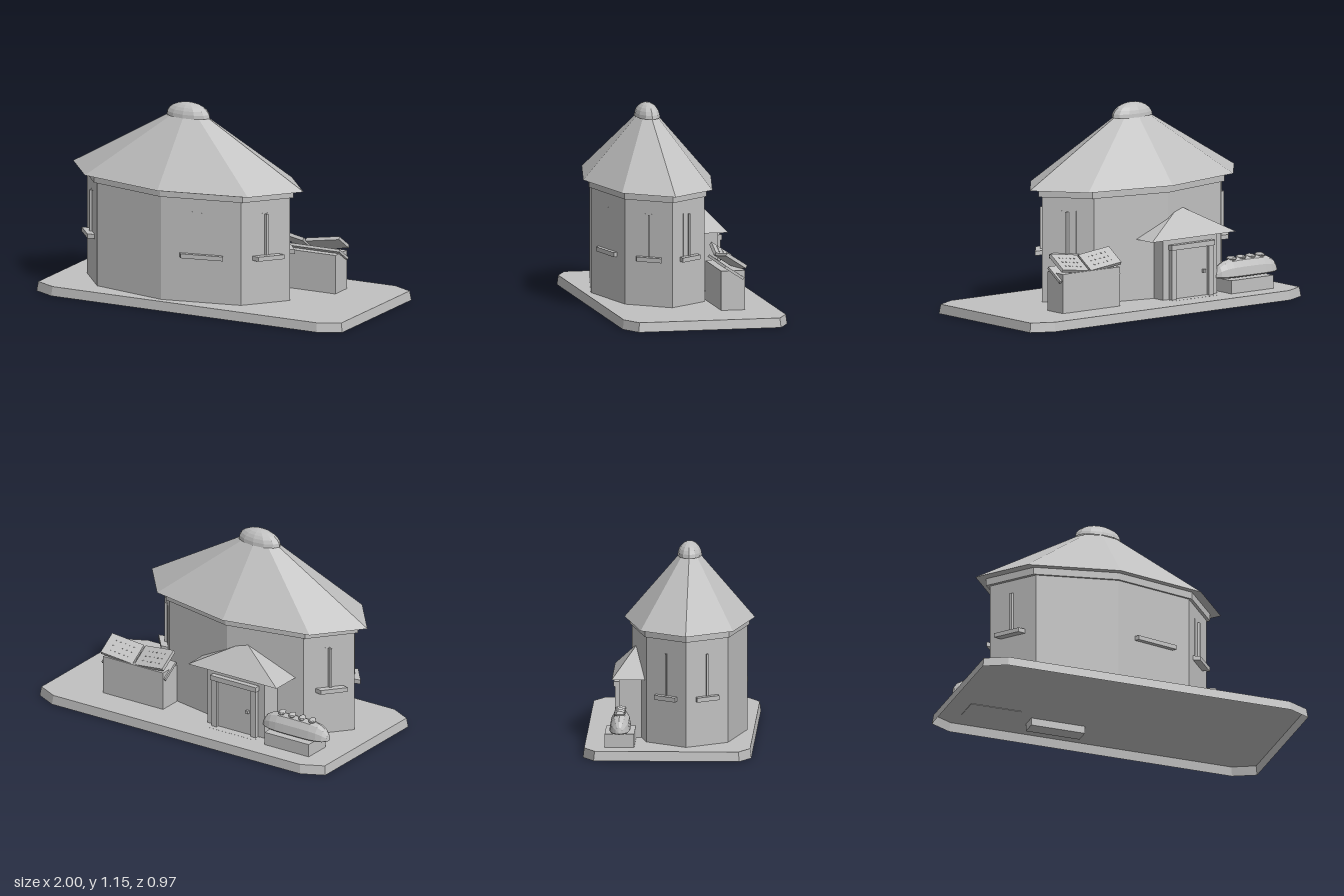
import * as THREE from 'three';

export function createModel() {
  const model = new THREE.Group();
  const grey = new THREE.MeshStandardMaterial({
    color: 0xc0c0c0, flatShading: true, side: THREE.DoubleSide,
  });
  grey.name = 'plain grey';

  const add = (parent, name, geometry, x = 0, y = 0, z = 0) => {
    const mesh = new THREE.Mesh(geometry, grey);
    mesh.name = name;
    mesh.position.set(x, y, z);
    parent.add(mesh);
    return mesh;
  };
  const box = (parent, name, w, h, d, x, y, z) =>
    add(parent, name, new THREE.BoxGeometry(w, h, d), x, y, z);
  const group = (name, x = 0, y = 0, z = 0) => {
    const g = new THREE.Group();
    g.name = name;
    g.position.set(x, y, z);
    model.add(g);
    return g;
  };

  // Hollow base with clipped corners, open below and slightly narrower on top
  const outline = [[1, 0.42], [0.87, 0.485], [-0.87, 0.485], [-1, 0.42],
    [-1, -0.42], [-0.87, -0.485], [0.87, -0.485], [1, -0.42]];
  const topX = 0.992, topZ = 0.986, baseTop = 0.055;
  const base = group('base');
  const deck = new THREE.ShapeGeometry(
    new THREE.Shape(outline.map(([x, z]) => new THREE.Vector2(x * topX, -z * topZ))));
  deck.rotateX(-Math.PI / 2);
  add(base, 'baseTop', deck, 0, baseTop, 0);
  const skirt = new THREE.PlaneGeometry(1, 1, 8, 1);
  const s = skirt.attributes.position;
  for (let i = 0; i < s.count; i++) {
    const [x, z] = outline[(17 - (i % 9)) % 8];
    if (i < 9) s.setXYZ(i, x * topX, baseTop, z * topZ);
    else s.setXYZ(i, x, 0, z);
  }
  add(base, 'baseSides', skirt);

  // Eight-sided tower, built on a unit circle and stretched along x
  const tower = group('tower', -0.175, 0, 0.108);
  tower.scale.set(0.665, 1, 0.332);
  const ring = (name, top, bottom, y0, y1) =>
    add(tower, name, new THREE.CylinderGeometry(top, bottom, y1 - y0, 8), 0, (y0 + y1) / 2, 0);
  ring('walls', 1, 1, 0.056, 0.69);
  ring('cornice', 1.035, 1.035, 0.67, 0.714);
  ring('roof', 0.2, 1.135, 0.713, 1.073);
  const dome = add(tower, 'roofDome',
    new THREE.SphereGeometry(0.212, 12, 6, 0, Math.PI * 2, 0, Math.PI / 2), 0, 1.073, 0);
  dome.scale.y = 0.082 / 0.212;

  // Windows with a centre bar and a sill
  for (const degrees of [-22.5, 22.5, 67.5, 157.5, 202.5]) {
    const win = new THREE.Group();
    win.name = 'window';
    win.rotation.y = Math.PI / 2 - THREE.MathUtils.degToRad(degrees);
    tower.add(win);
    box(win, 'windowPane', 0.25, 0.25, 0.02, 0, 0.467, 0.915);
    box(win, 'windowBar', 0.03, 0.245, 0.04, 0, 0.465, degrees === 67.5 ? 0.908 : 0.93);
    box(win, 'windowSill', 0.407, 0.026, 0.077, 0, 0.33, 0.957);
  }

  // Porch at the back with a hipped roof and a sunken doorstep
  const porch = group('porch', -0.285, 0, 0);
  box(porch, 'porchWalls', 0.4, 0.358, 0.17, 0, 0.235, -0.205);
  const hip = new THREE.ConeGeometry(Math.SQRT1_2, 1, 4);
  hip.rotateY(Math.PI / 4);
  add(porch, 'porchRoof', hip, 0, 0.492, -0.188).scale.set(0.62, 0.165, 0.28);
  box(porch, 'door', 0.24, 0.29, 0.01, 0, 0.202, -0.293);
  for (const side of [-1, 1]) {
    box(porch, 'doorPost', 0.035, 0.3, 0.03, side * 0.137, 0.206, -0.3);
  }
  box(porch, 'lintel', 0.32, 0.03, 0.036, 0, 0.36, -0.304);
  box(porch, 'doorKnob', 0.018, 0.018, 0.02, -0.09, 0.2, -0.305);
  box(porch, 'doorstep', 0.33, 0.045, 0.09, 0, 0.033, -0.3);

  // Blunt loaf on a low plinth, with raised scores along its top
  const loafStand = group('loafStand', -0.7, 0, -0.276);
  box(loafStand, 'plinth', 0.31, 0.08, 0.17, 0.012, 0.092, 0);
  const crust = new THREE.SphereGeometry(1, 12, 12);
  crust.rotateZ(Math.PI / 2);
  const c = crust.attributes.position;
  for (let i = 0; i < c.count; i++) {
    const x = c.getX(i), swell = Math.sqrt(1 + x * x);
    const y = c.getY(i) * swell;
    c.setXYZ(i, x * 0.228, y * (y < 0 ? 0.015 : 0.1), c.getZ(i) * swell * 0.06);
  }
  add(loafStand, 'loaf', crust, 0, 0.147, 0);
  for (let i = 0; i < 4; i++) {
    const score = add(loafStand, 'loafScore', new THREE.SphereGeometry(1, 8, 6),
      -0.11 + i * 0.07, 0.245, 0);
    score.scale.set(0.022, 0.014, 0.035);
    score.rotation.y = 0.3;
  }

  // Open book leaning on a block
  box(model, 'bookBlock', 0.42, 0.229, 0.14, 0.44, 0.1705, -0.215);
  const book = group('openBook', 0.443, 0.275, -0.22);
  book.rotation.x = -0.58;
  box(book, 'bookCover', 0.445, 0.016, 0.13, 0, 0, 0);
  for (const side of [-1, 1]) {
    const half = new THREE.Group();
    half.name = 'bookHalf';
    half.position.set(side * 0.006, 0.03, 0.027);
    half.rotation.z = side * 0.17;
    book.add(half);
    box(half, 'pages', 0.212, 0.02, 0.14, side * 0.108, 0, 0);
    for (let row = 0; row < 3; row++) {
      for (let col = 0; col < 5; col++) {
        box(half, 'pageDot', 0.008, 0.004, 0.006,
          side * 0.108 + (col - 2) * 0.03, 0.0105, (row - 1) * 0.035);
      }
    }
  }
  return model;
}
